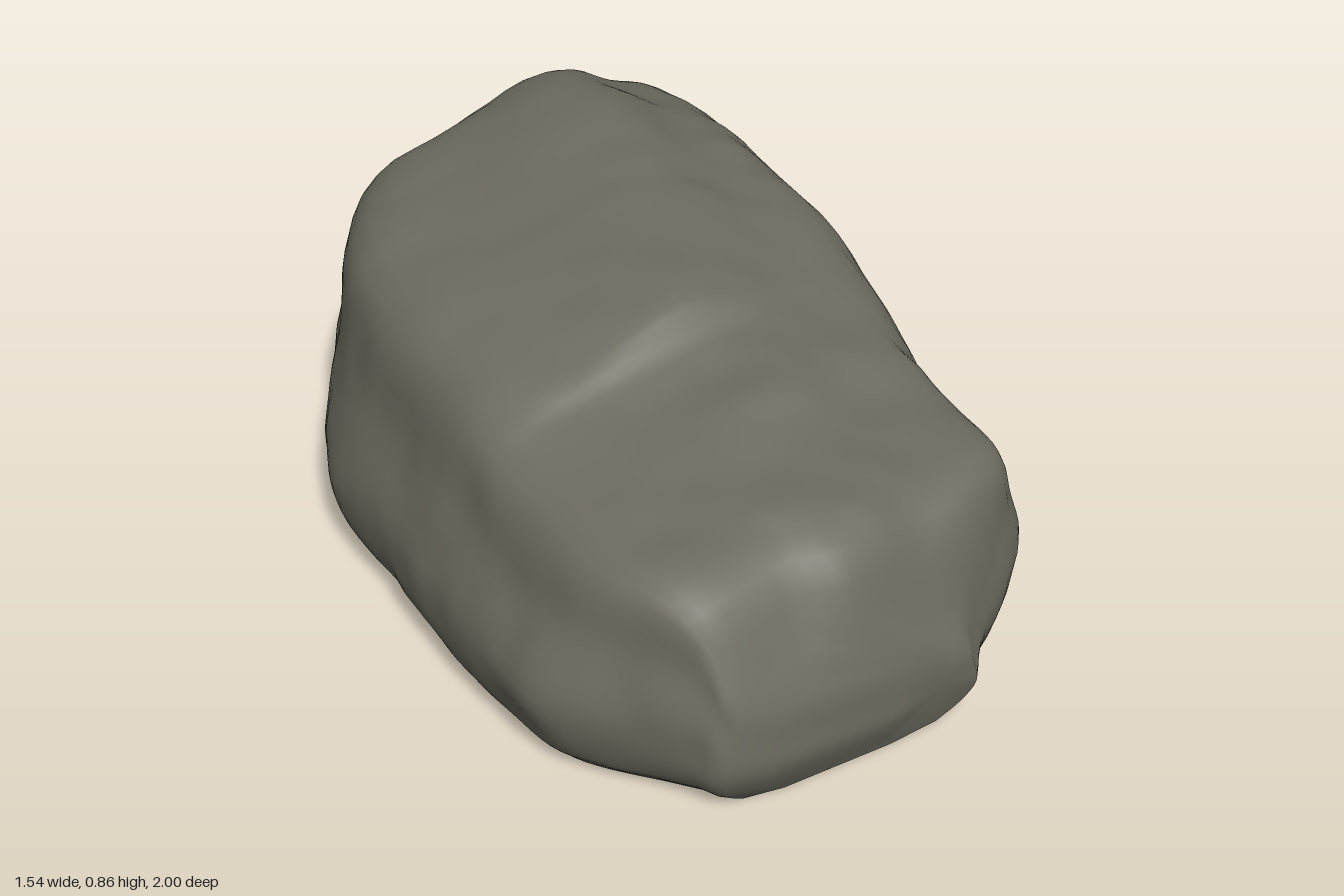
import * as THREE from 'three';
import { toCreasedNormals } from 'three/addons/utils/BufferGeometryUtils.js';

// Cross-sections, front to back:
// z, widest left x, left shoulder x y, crown x y, right shoulder x y, widest right x
const SECTIONS = [
  [1.0, -0.14, -0.1, 0.2, 0.0, 0.23, 0.07, 0.2, 0.1],
  [0.95, -0.54, -0.49, 0.27, -0.15, 0.36, 0.08, 0.3, 0.15],
  [0.89, -0.58, -0.53, 0.42, -0.15, 0.48, 0.16, 0.45, 0.27],
  [0.81, -0.63, -0.56, 0.47, -0.15, 0.535, 0.28, 0.51, 0.37],
  [0.6, -0.755, -0.61, 0.48, -0.1, 0.58, 0.31, 0.55, 0.39],
  [0.46, -0.77, -0.61, 0.5, 0, 0.64, 0.34, 0.59, 0.455],
  [0.26, -0.77, -0.61, 0.54, 0, 0.68, 0.37, 0.63, 0.53],
  [0.21, -0.765, -0.61, 0.55, -0.06, 0.73, 0.38, 0.64, 0.55],
  [0, -0.735, -0.59, 0.61, 0.04, 0.785, 0.42, 0.7, 0.625],
  [-0.35, -0.705, -0.56, 0.65, 0.14, 0.835, 0.44, 0.745, 0.7],
  [-0.55, -0.62, -0.5, 0.67, 0.17, 0.855, 0.45, 0.745, 0.74],
  [-0.75, -0.47, -0.36, 0.67, 0.17, 0.83, 0.46, 0.71, 0.755],
  [-0.82, -0.42, -0.29, 0.61, 0.15, 0.75, 0.44, 0.63, 0.64],
  [-0.9, -0.27, -0.19, 0.45, 0.1, 0.53, 0.33, 0.46, 0.4],
  [-1.0, -0.03, -0.01, 0.17, 0.02, 0.22, 0.05, 0.17, 0.07],
];
const STEPS = 60; // points around each section

// Small seeded value noise, -1..1
const hash = (x, y, z) => {
  const s = Math.sin(x * 127.1 + y * 311.7 + z * 74.7) * 43758.5453;
  return (s - Math.floor(s)) * 2 - 1;
};
function noise(x, y, z) {
  const c = [x, y, z].map(Math.floor);
  const f = [x - c[0], y - c[1], z - c[2]].map((t) => t * t * (3 - 2 * t));
  let sum = 0;
  for (let k = 0; k < 8; k++) {
    const o = [k & 1, (k >> 1) & 1, k >> 2];
    const w = o.reduce((p, b, n) => p * (b ? f[n] : 1 - f[n]), 1);
    sum += w * hash(c[0] + o[0], c[1] + o[1], c[2] + o[2]);
  }
  return sum;
}
const bump = (d, width) => Math.exp(-((d / width) ** 2));
const ramp = (v, from, to) => THREE.MathUtils.smoothstep(v, from, to);

// Rounded outline from the left foot over the crown to the right foot
function outline([z, xl, lx, ly, cx, cy, rx, ry, xr]) {
  const inset = Math.min(0.08, (xr - xl) * 0.15);
  const chamfer = inset * (1 + ramp(z, 0.55, 0.8)); // undercut front right corner
  const yl = Math.min(0.2, ly * 0.55), yr = Math.min(0.25, ry * 0.5);
  const pts = [
    [xl + inset, 0], [xl + inset * 0.35, yl * 0.3], [xl, yl],
    [(xl + lx) / 2, (yl + ly) / 2], [lx, ly],
    [(lx + cx) / 2, (ly + cy) / 2 + 0.012], [cx, cy],
    [(cx + rx) / 2, (cy + ry) / 2], [rx, ry],
    [rx + (xr - rx) * 0.68, ry + (yr - ry) * 0.5], [xr, yr],
    [xr - chamfer * 0.35, yr * 0.35], [xr - chamfer, 0],
  ].map(([x, y]) => new THREE.Vector3(x, y, z));
  const curve = new THREE.CatmullRomCurve3(pts, false, 'centripetal');
  return Array.from({ length: STEPS + 1 }, (_, j) => curve.getPoint(j / STEPS));
}

// Weathering: lumps, a side cleft, a chipped front corner and rounded feet at the ends
function weather(p) {
  const { x, y, z } = p;
  const fade = Math.min(1, y / 0.1) * Math.min(1, (1 - Math.abs(z)) / 0.08);
  const lump = 0.009 * noise(x * 5 + 7, y * 5, z * 5) + 0.008 * noise(x * 11, y * 11 + 3, z * 11);
  const cleft = 0.03 * ramp(x, 0.28, 0.36) * bump(z - 0.5 + (y - 0.3) * 0.15, 0.05);
  const out = new THREE.Vector3(x * 0.8, y - 0.25, 0).normalize();
  p.addScaledVector(out, (lump - cleft) * fade);
  p.z -= 0.04 * ramp(z, 0.62, 0.85) * ramp(-x, 0.2, 0.3) * ramp(y, 0.2, 0.45);
  p.z *= 1 - 0.05 * ramp(Math.abs(z), 0.5, 1) * (1 - ramp(y, -0.04, 0.13));
  p.y = Math.max(0, p.y);
  return p;
}

function rockGeometry() {
  // Join matching outline points with smooth curves running front to back
  const keys = SECTIONS.map(outline);
  const rails = keys[0].map((_, j) => new THREE.CatmullRomCurve3(keys.map((k) => k[j]), false, 'centripetal'));
  const spans = SECTIONS.length - 1;
  const rows = [];
  for (let i = 0; i < spans; i++) {
    const n = Math.max(3, Math.ceil((SECTIONS[i][0] - SECTIONS[i + 1][0]) / 0.03));
    for (let s = 0; s < n; s++) rows.push(rails.map((r) => r.getPoint((i + s / n) / spans)));
  }
  rows.push(keys[spans]);

  const n = STEPS + 1;
  const points = rows.flat().map(weather);
  const index = [];
  for (let i = 0; i < rows.length - 1; i++) {
    for (let j = 0; j < n; j++) {
      const a = i * n + j, b = i * n + ((j + 1) % n);
      index.push(a, b, a + n, b, b + n, a + n);
    }
  }
  // Small closing faces at both ends
  const last = (rows.length - 1) * n;
  points.push(new THREE.Vector3(0, 0.14, 1), new THREE.Vector3(0.02, 0.12, -1));
  for (let j = 0; j < n; j++) {
    const k = (j + 1) % n;
    index.push(points.length - 2, k, j, points.length - 1, last + j, last + k);
  }
  const geometry = new THREE.BufferGeometry().setFromPoints(points);
  geometry.setIndex(index);
  return toCreasedNormals(geometry, 0.75);
}

export function createModel() {
  const group = new THREE.Group();
  group.name = 'rock';
  const stone = new THREE.MeshStandardMaterial({ color: 0x6b695d });
  stone.name = 'stone';
  const boulder = new THREE.Mesh(rockGeometry(), stone);
  boulder.name = 'boulder';
  group.add(boulder);
  return group;
}
